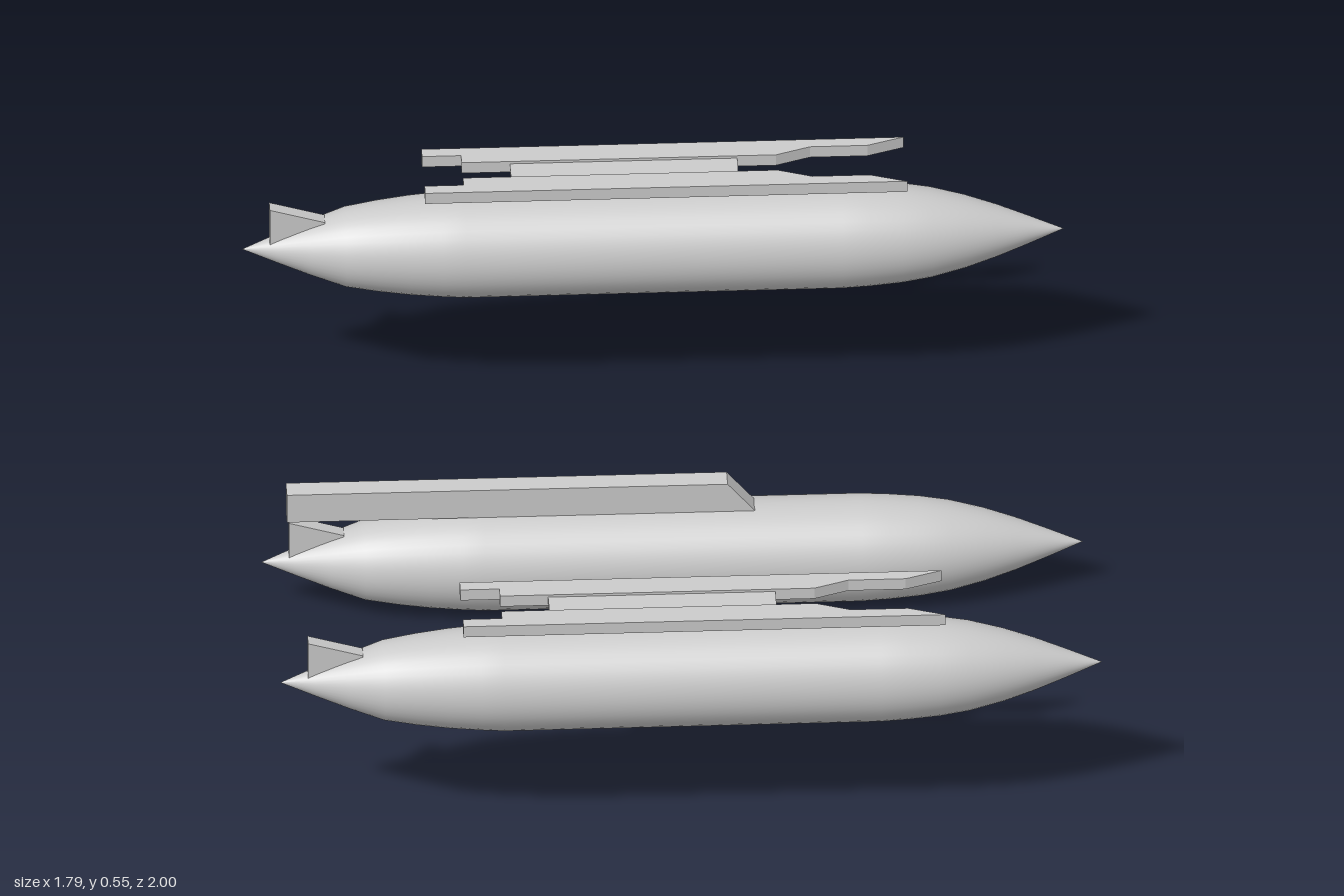
import * as THREE from 'three';

const material = new THREE.MeshStandardMaterial({ color: 0xcccccc, side: THREE.DoubleSide });
const RADIUS = 0.118;

function addMesh(parent, name, geometry) {
  const mesh = new THREE.Mesh(geometry, material);
  mesh.name = name;
  parent.add(mesh);
  return mesh;
}

// Extrude an outline of [x, y] points, centred through its thickness
function slab(points, thickness) {
  const shape = new THREE.Shape(points.map(([x, y]) => new THREE.Vector2(x, y)));
  return new THREE.ExtrudeGeometry(shape, { depth: thickness, bevelEnabled: false })
    .translate(0, 0, -thickness / 2);
}

// Pointed spindle body lying along x
function tankGeometry() {
  const profile = [
    [0, -0.895], [0.031, -0.82], [0.061, -0.745], [0.088, -0.67], [0.1, -0.6], [0.109, -0.53],
    [0.115, -0.46], [RADIUS, -0.41], [RADIUS, 0], [RADIUS, 0.41], [0.115, 0.47], [0.109, 0.54],
    [0.099, 0.605], [0.08, 0.68], [0.057, 0.75], [0.03, 0.82], [0, 0.895],
  ].map(([r, x]) => new THREE.Vector2(r, x));
  return new THREE.LatheGeometry(profile, 40).rotateZ(-Math.PI / 2);
}

// Tank with its tail fin, centred on its own axis
function createTank(name) {
  const tank = new THREE.Group();
  tank.name = name;
  addMesh(tank, 'tankBody', tankGeometry());
  addMesh(tank, 'tailFin', slab([
    [-0.835, 0.015], [-0.715, 0.04], [-0.715, 0.073], [-0.835, 0.108],
  ], 0.032));
  return tank;
}

// Notched mounting plate: two thick side rails joined by a thinner web
function createMountingPlate() {
  const plate = new THREE.Group();
  plate.name = 'mountingPlate';
  const railOutline = [
    [-0.5, 0.09], [-0.5, 0.06], [-0.415, 0.06], [-0.415, 0.031],
    [0.27, 0.031], [0.345, 0.06], [0.47, 0.06], [0.55, 0.09],
  ];
  for (const side of [1, -1]) {
    const outline = railOutline.map(([x, z]) => [x, z * side]);
    addMesh(plate, 'plateRail', slab(outline, 0.027).rotateX(Math.PI / 2));
  }
  addMesh(plate, 'plateWeb', new THREE.BoxGeometry(0.495, 0.015, 0.062)).position.x = -0.0625;
  return plate;
}

export function createModel() {
  const model = new THREE.Group();
  model.name = 'dropTanks';

  // Centre tank with its long pylon
  const centre = createTank('centreTank');
  centre.position.y = RADIUS;
  model.add(centre);
  addMesh(model, 'centrePylon', slab([
    [-0.84, 0.234], [0.18, 0.234], [0.12, 0.304], [-0.84, 0.304],
  ], 0.05));

  // Outer tanks with the plates floating above them
  for (const [side, label] of [[1, 'left'], [-1, 'right']]) {
    const tank = createTank(label + 'Tank');
    tank.position.set(0, 0.366, side * 0.882);
    model.add(tank);
    const plate = createMountingPlate();
    plate.position.set(0, 0.541, side * 0.882);
    model.add(plate);
  }
  return model;
}
